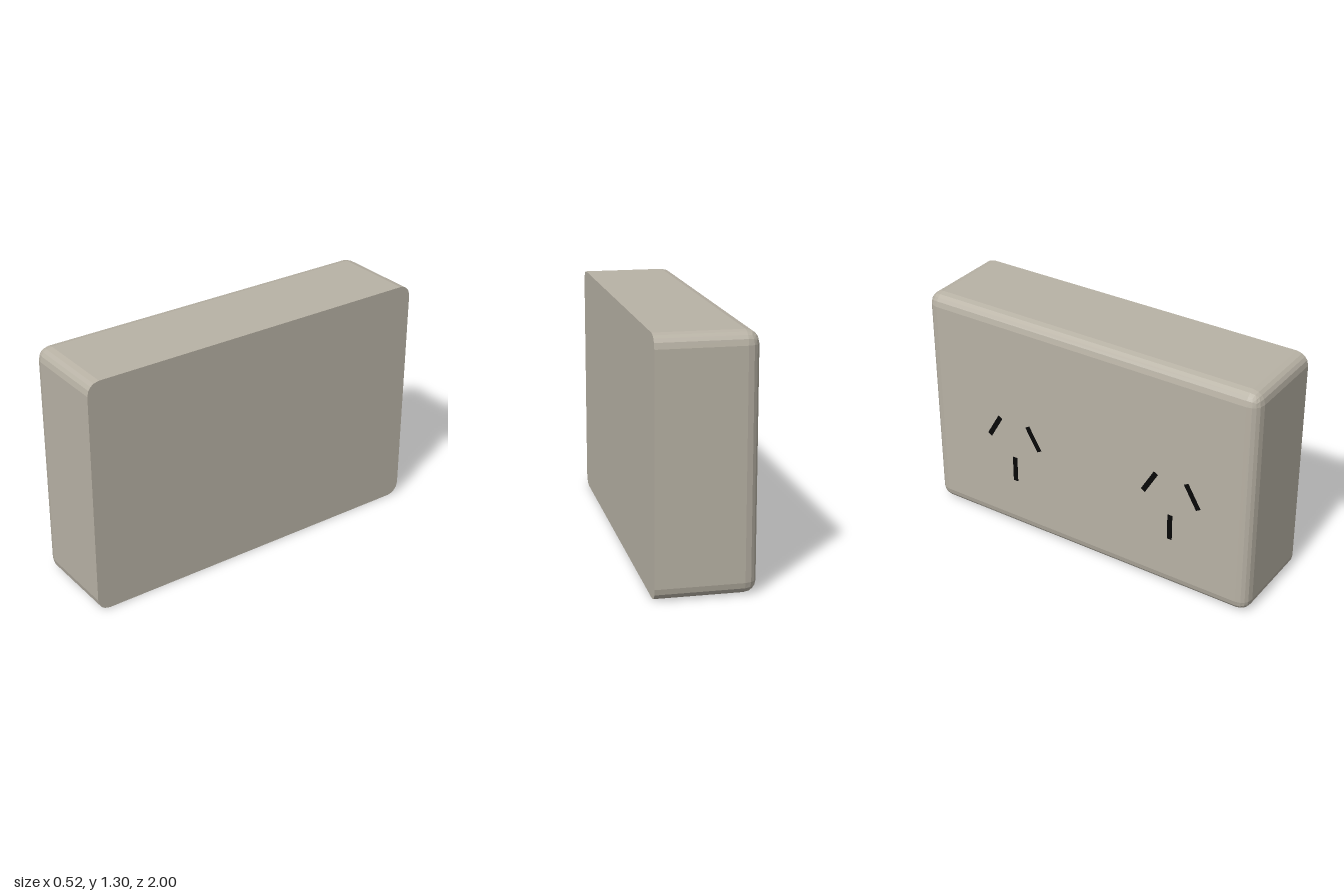
import * as THREE from 'three';
import { RoundedBoxGeometry } from 'three/addons/geometries/RoundedBoxGeometry.js';

const DEPTH = 0.514, HEIGHT = 1.3, LENGTH = 2, RADIUS = 0.067;

// Box with faceted rounding everywhere except its flat mounting side (+x)
function housingGeometry() {
  const geo = new RoundedBoxGeometry(DEPTH + RADIUS, HEIGHT, LENGTH, 2, RADIUS);
  geo.translate(RADIUS / 2, HEIGHT / 2, 0);
  const pos = geo.attributes.position;
  for (let i = 0; i < pos.count; i++) pos.setX(i, Math.min(pos.getX(i), DEPTH / 2));
  geo.computeVertexNormals(); // non-indexed, so facets stay flat
  return geo;
}

export function createModel() {
  const plastic = new THREE.MeshStandardMaterial({ color: 0xb8b2a5 });
  plastic.name = 'beigePlastic';
  const black = new THREE.MeshStandardMaterial({ color: 0x080808 });
  black.name = 'slotBlack';

  const model = new THREE.Group();
  model.name = 'doubleWallSocket';

  const housing = new THREE.Mesh(housingGeometry(), plastic);
  housing.name = 'housing';
  model.add(housing);

  // Each outlet: two slanted slots leaning together over one upright slot
  const slotGeo = new THREE.BoxGeometry(0.006, 0.15, 0.028);
  const slots = [
    ['slantedSlotA', 0.235, -0.127, Math.PI / 6],
    ['slantedSlotB', 0.235, 0.127, -Math.PI / 6],
    ['earthSlot', 0, 0, 0],
  ];
  for (const z of [-0.447, 0.536]) {
    const outlet = new THREE.Group();
    outlet.name = z < 0 ? 'rearOutlet' : 'frontOutlet';
    outlet.position.set(-DEPTH / 2, 0.38, z);
    for (const [name, y, dz, tilt] of slots) {
      const slot = new THREE.Mesh(slotGeo, black);
      slot.name = name;
      slot.position.set(0, y, dz);
      slot.rotation.x = tilt;
      outlet.add(slot);
    }
    model.add(outlet);
  }
  return model;
}
